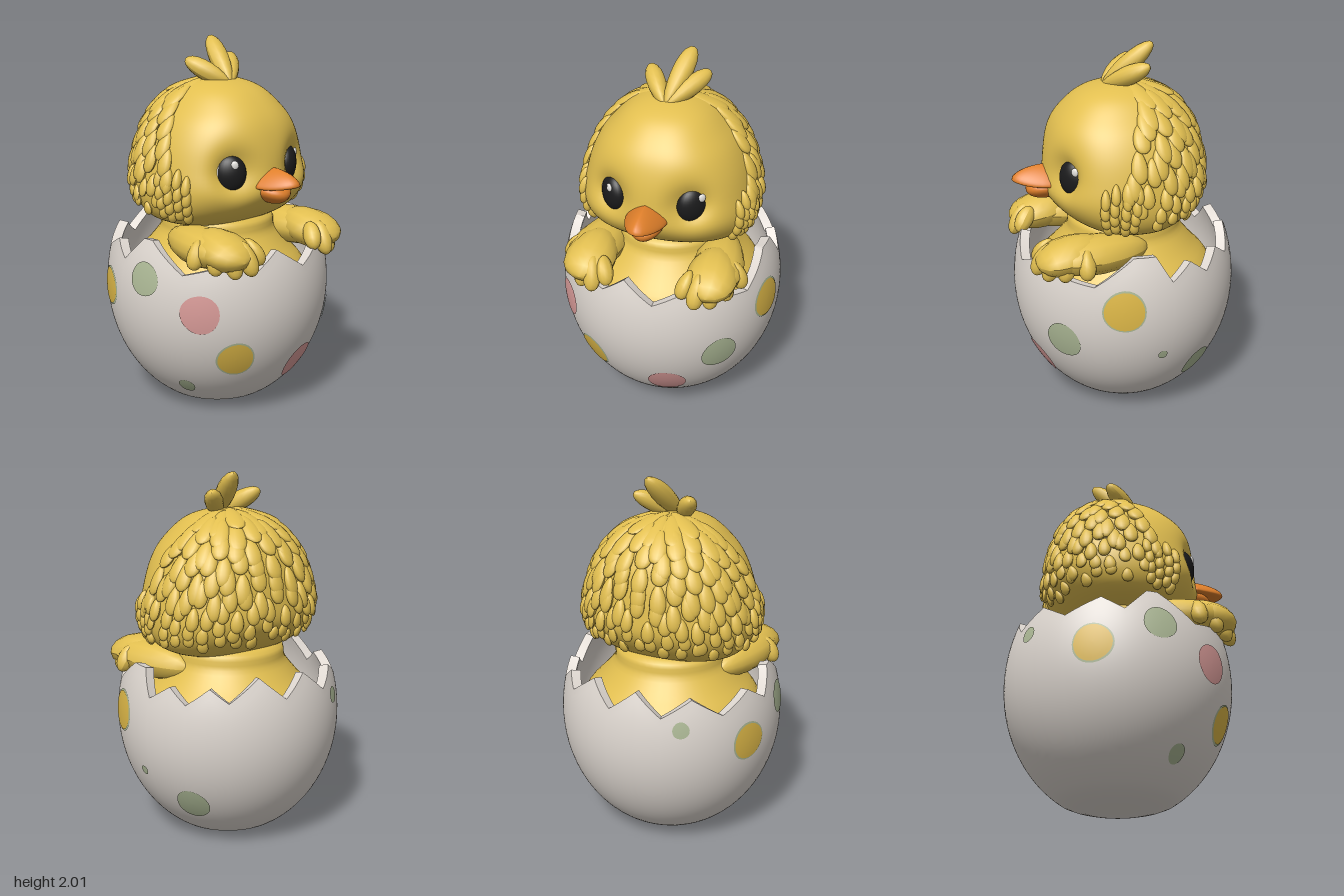
import * as THREE from 'three';
import { toCreasedNormals } from 'three/addons/utils/BufferGeometryUtils.js';

const mat = (name, color, side = THREE.FrontSide) =>
  Object.assign(new THREE.MeshStandardMaterial({ color, side }), { name });
const V = (x, y, z) => new THREE.Vector3(x, y, z);
const RAD = Math.PI / 180;

// Grid of points fn(u, v): u runs 0..1 over rows, v wraps round 0..1
function surface(rows, cols, fn) {
  const pos = [], idx = [];
  for (let i = 0; i <= rows; i++)
    for (let j = 0; j < cols; j++) pos.push(...fn(i / rows, j / cols).toArray());
  for (let i = 0; i < rows; i++)
    for (let j = 0; j < cols; j++) {
      const a = i * cols + j, b = i * cols + (j + 1) % cols;
      idx.push(a, b, b + cols, a, b + cols, a + cols);
    }
  const g = new THREE.BufferGeometry();
  g.setAttribute('position', new THREE.Float32BufferAttribute(pos, 3));
  g.setIndex(idx);
  g.computeVertexNormals();
  return g;
}

// Unit sphere whose vertices are moved by a rule
function blob(rule, w = 14, h = 10) {
  const g = new THREE.SphereGeometry(1, w, h), p = g.attributes.position, v = V(0, 0, 0);
  for (let i = 0; i < p.count; i++) {
    v.fromBufferAttribute(p, i);
    rule(v);
    p.setXYZ(i, v.x, v.y, v.z);
  }
  g.computeVertexNormals();
  return g;
}

// Egg shell: radius by height, jagged rim height by angle (0 = front, 90 = left side)
const eggRadius = y => 0.622 * Math.sqrt(Math.max(0, 1 - ((0.66 - y) / (y < 0.66 ? 0.72 : 0.753)) ** 2))
  - 0.05 * Math.max(0, 1 - y / 0.04) ** 2;
const rimPoints = [[-10, .96], [6, .85], [24, .93], [40, .87], [58, .85], [78, 1], [90, 1], [98, .86],
  [110, .94], [120, .86], [132, .95], [142, .88], [158, 1], [172, .88], [186, .99], [200, .87], [216, .96],
  [232, .86], [250, .95], [262, .87], [274, 1], [280, 1], [300, .85], [324, .91], [338, .87], [350, .96]];
function rimHeight(deg) {
  if (deg >= 350) deg -= 360;
  const k = rimPoints.findIndex(p => p[0] > deg);
  const [a, b] = [rimPoints[k - 1], rimPoints[k]];
  return a[1] + (b[1] - a[1]) * (deg - a[0]) / (b[0] - a[0]);
}
const polar = (a, r, y) => V(Math.sin(a) * r, y, Math.cos(a) * r);
function shellPoint(u, v) {
  const i = Math.round(u * 40), a = v * 2 * Math.PI, rim = rimHeight(v * 360);
  if (i === 0) return V(0, 0, 0);
  if (i <= 27) {
    const y = rim * ((i - 1) / 26) ** 1.5;
    return polar(a, eggRadius(y), y);
  }
  const y = rim - 0.01 - (rim - 0.31) * (i - 28) / 12;
  return polar(a, eggRadius(y) - 0.055, y);
}

// Thin painted spot that hugs the shell
const spot = (deg, y0, r, lift) => surface(6, 28, (u, v) => {
  const t = v * 2 * Math.PI, rr = r * (1 - u) * (1 + 0.02 * Math.sin(3 * t + deg));
  const y = y0 + rr * Math.sin(t);
  return polar(deg * RAD + rr * Math.cos(t) / eggRadius(y), eggRadius(y) + lift, y);
});

// Head outline from crown to chin: half width, height, depth
const headCurve = new THREE.CatmullRomCurve3([[0, 1.8, 0], [.12, 1.785, .135], [.22, 1.74, .25],
  [.305, 1.66, .34], [.37, 1.58, .395], [.42, 1.48, .43], [.455, 1.36, .45], [.475, 1.24, .455],
  [.465, 1.15, .4], [.415, 1.075, .31], [.28, 1.025, .19], [0, 1.01, 0]].map(p => V(...p)));
function headPoint(t, a) {
  const c = headCurve.getPoint(t);
  const soft = s => Math.sign(s) * Math.abs(s) ** 0.88;
  const s = soft(Math.sin(a)), k = soft(Math.cos(a));
  const p = V(c.x * s, c.y, c.z * k * (k < 0 ? 0.9 : 1));
  // Eye sockets
  if (p.z > 0) {
    const dx = (Math.abs(p.x + 0.01) - 0.215) / 0.1, dy = (p.y - 1.345) / 0.115;
    p.z -= 0.085 * Math.exp(-dx * dx - dy * dy);
  }
  return p;
}

export function createModel() {
  const yellow = mat('chick yellow', 0xe2bf50), orange = mat('beak orange', 0xdf7f2a);
  const black = mat('eye black', 0x1b1b1c), white = mat('eye white', 0xe6e4e0);
  const shellMat = mat('shell white', 0xded7d0, THREE.DoubleSide);
  const spotMats = { pink: mat('spot pink', 0xdb9d9a), green: mat('spot green', 0xadb996), gold: mat('spot gold', 0xdfb948) };

  const model = new THREE.Group();
  model.name = 'chickInEgg';
  const add = (name, geo, material, parent = model) => {
    const m = new THREE.Mesh(geo, material);
    m.name = name;
    parent.add(m);
    return m;
  };
  const group = name => {
    const g = new THREE.Group();
    g.name = name;
    model.add(g);
    return g;
  };

  // Shell and its spots
  add('eggShell', toCreasedNormals(surface(40, 180, shellPoint), 0.7), shellMat);
  const spots = group('shellSpots');
  for (const [color, deg, y, r] of [['pink', -51, .65, .105], ['gold', -33, .385, .095], ['green', -63, .18, .045],
    ['pink', 13, .275, .105], ['green', 41, .51, .103], ['gold', 73, .725, .107], ['green', 93, .44, .026],
    ['green', 121, .285, .092], ['gold', 247, .675, .1], ['green', 210, .81, .045], ['green', 279, .8, .09]]) {
    if (color === 'gold') add('spotEdge', spot(deg, y, r + 0.009, 0.003), spotMats.green, spots);
    add(color + 'Spot', spot(deg, y, r, 0.006), spotMats[color], spots);
  }

  // Body inside the shell
  const bodyProfile = new THREE.SplineCurve([[0, .3], [.38, .4], [.51, .55], [.525, .66], [.48, .78],
    [.39, .88], [.32, .97], [.28, 1.06], [0, 1.1]].map(p => new THREE.Vector2(...p)));
  add('body', new THREE.LatheGeometry(bodyProfile.getPoints(32), 48), yellow);

  // Head
  add('head', surface(64, 96, (u, v) => headPoint(1 - u, v * 2 * Math.PI)), yellow);

  // Feather or limb laid from root to tip, flat side along the given normal
  const plume = blob(v => { v.x *= 0.82 + 0.2 * v.y; });
  function feather(name, root, tip, width, thick, normal, parent) {
    const y = tip.clone().sub(root), len = y.length();
    y.normalize();
    const x = y.clone().cross(normal).normalize(), z = x.clone().cross(y);
    const m = add(name, plume, yellow, parent);
    m.quaternion.setFromRotationMatrix(new THREE.Matrix4().makeBasis(x, y, z));
    m.position.copy(root).add(tip).multiplyScalar(0.5);
    m.scale.set(width, len / 2, thick);
  }

  // Feathers on the crown and back of the head, laid in overlapping rows
  const outward = p => V(p.x, (p.y - 1.35) * 0.9, p.z).normalize();
  const coat = group('headFeathers');
  function headFeather(s, len, a, width, thick) {
    const root = headPoint(s / 11, a), tip = headPoint((s + len) / 11, a);
    const n = outward(root.clone().lerp(tip, 0.5));
    feather('headFeather', root.addScaledVector(n, -0.002), tip.addScaledVector(n, 0.02), width, thick, n, coat);
  }
  [[.4, 2.3, 7, 78], [1.6, 1.9, 10, 84], [2.6, 1.7, 13, 88], [3.5, 1.5, 15, 92], [4.4, 1.4, 17, 95],
    [5.2, 1.2, 19, 99], [6, 1, 20, 102], [6.8, .9, 18, 95], [7.5, .8, 15, 85]].forEach(([s, len, n, range], k) => {
    for (let i = 0; i < n; i++) {
      const a = 180 + range * (2 * i / (n - 1) - 1);
      const wob = 0.28 * Math.sin(i * 2.3 + k * 1.7);
      headFeather(s + wob, len, a * RAD, [.07, .062, .058, .055, .052, .048, .042, .038, .036][k], k < 7 ? 0.026 : 0.018);
    }
  });
  // Cheek feathers
  for (const side of [1, -1])
    for (let r = 0; r < 4; r++)
      for (let i = 0; i < 4; i++)
        headFeather(5.9 + r * 0.6 + (i % 2) * 0.25, 0.85, side * (84 - i * 7 - r * 1.5) * RAD, 0.03, 0.025);

  // Crest
  const crest = group('crest');
  for (const [x, y, z, w] of [[.075, 2, -.14, .066], [-.15, 1.895, -.09, .06], [.18, 1.9, -.09, .06]])
    feather('crestFeather', V(-.01, 1.76, .11), V(x, y, z), w, 0.053, V(x * 0.3, 0.6, 0.8), crest);

  // Wings resting over the rim
  for (const s of [1, -1]) {
    const wing = group(s > 0 ? 'leftWing' : 'rightWing');
    feather('upperWing', V(s * .30, .95, -.04), V(s * .37, .965, .53), .165, .105, V(0, 1, 0), wing);
    feather('wingPalm', V(s * .32, 1, .2), V(s * .345, .94, .58), .165, .1, V(0, 1, .2), wing);
    for (const [x, y, z, w] of [[.2, .9, .56, .052], [.28, .86, .58, .057], [.36, .848, .535, .057],
      [.435, .865, .46, .057], [.495, .885, .35, .055]])
      feather('wingFeather', V(s * (x * .6 + .12), 1.03, z * .7 + .08), V(s * x, y, z), w, .05,
        V(s * x, .25, z), wing);
  }

  // Eyes
  const ball = new THREE.SphereGeometry(1, 28, 20);
  for (const s of [1, -1]) {
    const eye = group(s > 0 ? 'leftEye' : 'rightEye');
    eye.position.set(s * 0.211 - 0.008, 1.343, 0.333);
    eye.rotation.y = s * 0.68;
    const part = (name, material, p, r) => {
      const m = add(name, ball, material, eye);
      m.position.set(...p);
      m.scale.set(...r);
    };
    part('eyeball', black, [0, 0, 0], [.086, .1, .055]);
    part('eyeWhite', white, [s * .018, 0, -.008], [.082, .096, .054]);
    part('eyeGlint', white, [s > 0 ? .036 : .022, .052, .042], [.02, .024, .01]);
  }

  // Beak
  const beak = group('beak');
  add('upperBeak', blob(v => {
    const { x, y, z } = v;
    v.set(0.112 * x * (1 - 0.25 * Math.max(z, 0)),
      (y > 0 ? 0.065 * y * (1 - 0.45 * Math.abs(x)) : 0.035 * y) - 0.03 * x * x - 0.008 * z * z, 0.18 * z);
  }, 32, 24), orange, beak).position.set(-.012, 1.3, .44);
  add('lowerBeak', blob(v => v.set(0.085 * v.x * (1 + 0.35 * v.y), 0.055 * v.y, 0.105 * v.z), 28, 20),
    orange, beak).position.set(-.012, 1.227, .44);

  return model;
}
